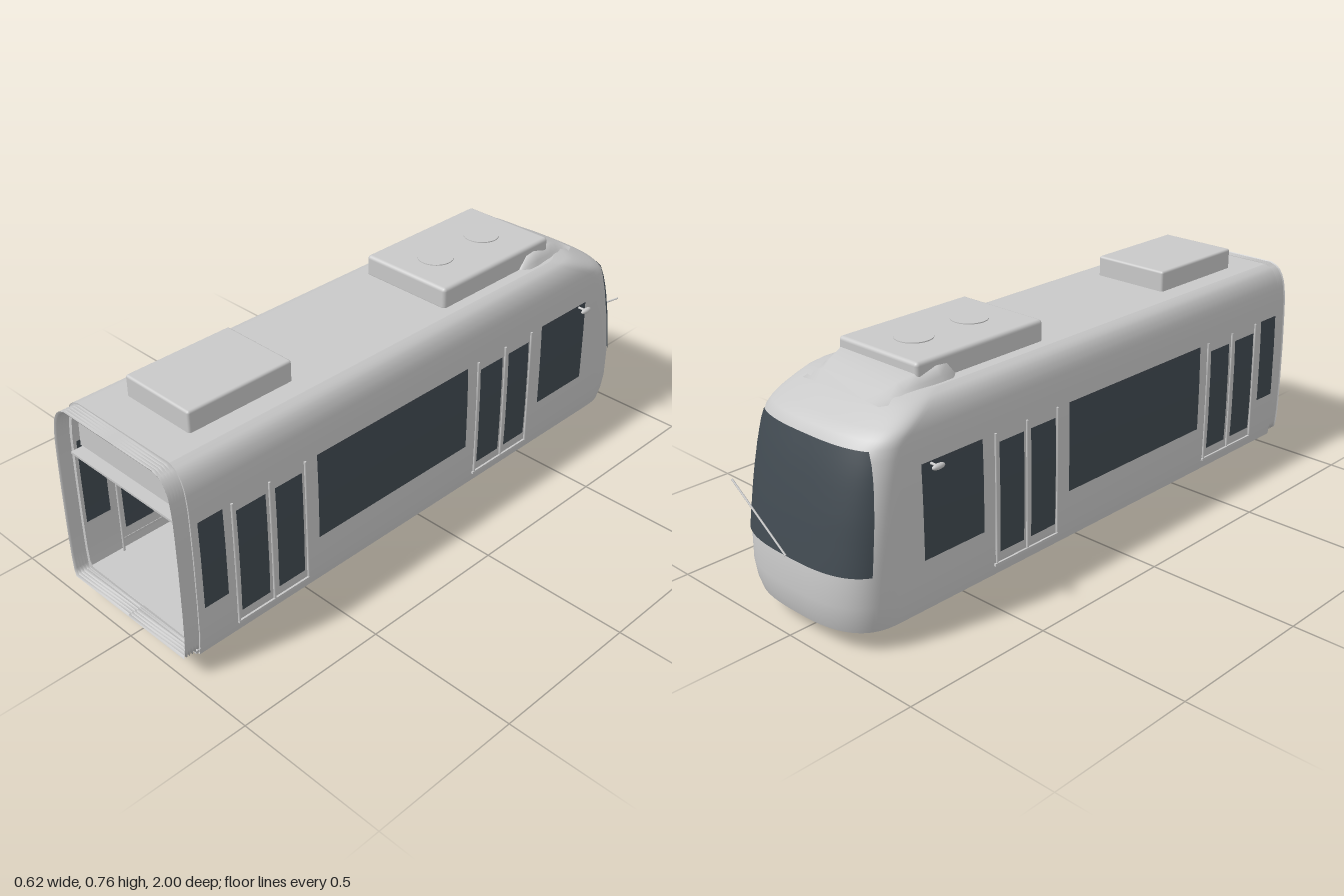
import * as THREE from 'three';
import { RoundedBoxGeometry } from 'three/addons/geometries/RoundedBoxGeometry.js';

// Height, half width, nose position
const PROFILE = [
  [0.065, 0.258, -0.975], [0.1, 0.264, -0.985], [0.15, 0.268, -0.99], [0.25, 0.27, -0.985],
  [0.4, 0.27, -0.955], [0.5, 0.268, -0.93], [0.56, 0.266, -0.911], [0.59, 0.263, -0.9],
  [0.61, 0.26, -0.88], [0.63, 0.256, -0.845], [0.65, 0.248, -0.805], [0.668, 0.237, -0.77],
  [0.68, 0.222, -0.74], [0.688, 0.2, -0.7],
];
const END_Z = 0.95, POWER = 2 / 2.8;

function profileAt(y) {
  let i = 0;
  while (i < PROFILE.length - 2 && y > PROFILE[i + 1][0]) i++;
  const a = PROFILE[i], b = PROFILE[i + 1];
  const t = THREE.MathUtils.clamp((y - a[0]) / (b[0] - a[0]), 0, 1);
  return { w: a[1] + (b[1] - a[1]) * t, nose: a[2] + (b[2] - a[2]) * t, len: 0.17 - 0.09 * Math.max(0, y - 0.1) };
}

// Point on the rounded nose; angle runs from -PI/2 (right side) to PI/2 (left side)
function nosePoint(y, angle, offset = 0) {
  const { w, nose, len } = profileAt(y);
  const s = Math.sin(angle), c = Math.max(0, Math.cos(angle));
  return [Math.sign(s) * Math.abs(s) ** POWER * (w + offset), y, nose + len - (len + offset) * c ** POWER];
}

// Surface from a rule of u and v
function grid(fn, nu, nv) {
  const pos = [], index = [];
  for (let j = 0; j <= nv; j++) for (let i = 0; i <= nu; i++) pos.push(...fn(i / nu, j / nv));
  for (let j = 0; j < nv; j++) for (let i = 0; i < nu; i++) {
    const a = j * (nu + 1) + i, b = a + nu + 1;
    index.push(a, b, a + 1, a + 1, b, b + 1);
  }
  const g = new THREE.BufferGeometry();
  g.setAttribute('position', new THREE.Float32BufferAttribute(pos, 3));
  g.setIndex(index);
  g.computeVertexNormals();
  return g;
}

export function createModel() {
  const model = new THREE.Group();
  const body = new THREE.MeshStandardMaterial({ name: 'light grey', color: 0xc8c8c8, side: THREE.DoubleSide });
  const glass = new THREE.MeshStandardMaterial({ name: 'dark glass', color: 0x414a51, side: THREE.DoubleSide });

  function add(name, geometry, material = body, x = 0, y = 0, z = 0) {
    const mesh = new THREE.Mesh(geometry, material);
    mesh.name = name;
    mesh.position.set(x, y, z);
    model.add(mesh);
    return mesh;
  }
  const box = (name, x0, x1, y0, y1, z0, z1, material) => add(name,
    new THREE.BoxGeometry(x1 - x0, y1 - y0, z1 - z0), material, (x0 + x1) / 2, (y0 + y1) / 2, (z0 + z1) / 2);
  function rod(name, from, to, r) {
    const a = new THREE.Vector3(...from), b = new THREE.Vector3(...to);
    const m = add(name, new THREE.CylinderGeometry(r, r, a.distanceTo(b), 10));
    m.position.copy(a).add(b).multiplyScalar(0.5);
    m.quaternion.setFromUnitVectors(new THREE.Vector3(0, 1, 0), b.sub(a).normalize());
  }
  function disc(name, x, y, z, r, width) {
    add(name, new THREE.CylinderGeometry(r, r, width, 28), body, x, y, z).rotation.z = Math.PI / 2;
  }

  // Body shell: level outlines stacked by height
  const NU = 48;
  const outline = (u, y) => {
    const i = Math.round(u * NU);
    if (i === 0 || i === NU) return [(i ? 1 : -1) * profileAt(y).w, y, END_Z];
    return nosePoint(y, ((i - 1) / (NU - 2) - 0.5) * Math.PI);
  };
  const rows = PROFILE.length - 1;
  add('bodyShell', grid((u, v) => outline(u, PROFILE[Math.round(v * rows)][0]), NU, rows));
  for (const [name, y] of [['underside', 0.065], ['roof', 0.688]]) {
    const dir = y > 0.5 ? 1 : -1;
    add(name, grid((u, v) => {
      const p = outline(u, y);
      return [p[0] * (dir > 0 ? 1 - v : v), y, p[2]];
    }, NU, 1));
  }

  // Windscreen wrapped round the nose
  add('windscreen', grid((u, v) => {
    const y = 0.245 + 0.343 * v, p = profileAt(y);
    const edge = -0.905 + 0.04 * v;
    const limit = Math.acos(((p.nose + p.len - edge) / p.len) ** (1 / POWER));
    return nosePoint(y, (u * 2 - 1) * limit, 0.004);
  }, 36, 10), glass);
  rod('wiper', [0, 0.25, -0.994], [0.22, 0.41, -0.997], 0.003);

  // Side panes, seen from outside and inside
  const panes = [
    [0.845, 0.93, 0.23, 0.52], [0.695, 0.8, 0.14, 0.49], [0.56, 0.66, 0.14, 0.49],
    [-0.14, 0.5, 0.23, 0.52], [-0.305, -0.2, 0.14, 0.49], [-0.435, -0.335, 0.14, 0.49], [-0.73, -0.5, 0.23, 0.52],
  ];
  for (const s of [-1, 1]) {
    for (const [z0, z1, y0, y1] of panes) for (const offset of [-0.003, 0.003]) {
      add('sideWindow', grid((u, v) => {
        const y = y0 + (y1 - y0) * v;
        return [s * (profileAt(y).w + offset), y, z0 + (z1 - z0) * u];
      }, 1, 8), glass);
    }
    // Door handrails, sills and frames
    for (const z of [0.812, 0.678, 0.545, -0.19, -0.32, -0.448])
      rod('doorEdge', [s * 0.27, 0.11, z], [s * 0.27, 0.52, z], 0.004);
    for (const z of [0.678, -0.32])
      box('doorSill', s * 0.267 - 0.004, s * 0.267 + 0.004, 0.098, 0.106, z - 0.135, z + 0.135);
    // Mirrors
    rod('mirrorArm', [s * 0.26, 0.513, -0.695], [s * 0.3, 0.513, -0.695], 0.004);
    add('mirror', new THREE.SphereGeometry(0.009, 16, 10), body, s * 0.3, 0.513, -0.695).scale.z = 2.6;
    add('noseLamp', new THREE.SphereGeometry(0.006, 10, 8), body, s * 0.15, 0.17, -0.967);
  }

  // Ribbed connecting bellows at the open end
  const half = PROFILE.map(([y, w]) => [w - 0.006, Math.max(0.075, y - 0.003)]);
  const ring = [[0, 0.075], ...half, [0, 0.685], ...half.map(([x, y]) => [-x, y]).reverse(), [0, 0.075]];
  add('bellows', grid((u, v) => {
    const [x, y] = ring[Math.round(u * (ring.length - 1))];
    const k = Math.round(v * 12) % 2 ? 0.975 : 1;
    return [x * k, 0.38 + (y - 0.38) * k, 0.94 + 0.06 * v];
  }, ring.length - 1, 12));
  add('endFrame', grid((u, v) => {
    const [x, y] = ring[Math.round(u * (ring.length - 1))];
    const k = 1.015 - 0.06 * v;
    return [x * k, 0.38 + (y - 0.38) * k, END_Z];
  }, ring.length - 1, 1));

  // Roof equipment
  add('frontRoofUnit', new RoundedBoxGeometry(0.27, 0.075, 0.37, 3, 0.008), body, 0, 0.7175, 0.645);
  add('rearRoofUnit', new RoundedBoxGeometry(0.33, 0.075, 0.5, 3, 0.012), body, 0, 0.7165, -0.39);
  for (const z of [-0.5, -0.28])
    add('roofFan', new THREE.CylinderGeometry(0.058, 0.058, 0.004, 32), body, 0, 0.755, z);

  // Fairing: half width at base, half width at top, height, z
  const fairing = [
    [0.185, 0.165, 0.69, -0.5], [0.2, 0.166, 0.726, -0.53], [0.2, 0.165, 0.73, -0.57], [0.197, 0.155, 0.722, -0.64],
    [0.19, 0.14, 0.708, -0.69], [0.18, 0.125, 0.69, -0.73], [0.16, 0.1, 0.67, -0.775],
  ];
  add('roofFairing', grid((u, v) => {
    const [base, top, h, z] = fairing[Math.round(v * 6)];
    const i = Math.round(u * 5);
    const x = [-base, -(base + top) / 2, -top, top, (base + top) / 2, base][i];
    const y = [0, 0.55, 1, 1, 0.55, 0][i];
    return [x, 0.668 + (h - 0.668) * y, z];
  }, 5, 6));

  // Interior shell
  box('floor', -0.255, 0.255, 0.07, 0.08, -0.62, 0.96);
  box('ceiling', -0.25, 0.25, 0.5, 0.507, -0.62, 0.96);
  const bulkhead = new THREE.Shape();
  bulkhead.moveTo(-0.26, 0.505).lineTo(0.26, 0.505).lineTo(0.255, 0.62).lineTo(0.235, 0.66)
    .lineTo(0.2, 0.68).lineTo(-0.2, 0.68).lineTo(-0.235, 0.66).lineTo(-0.255, 0.62);
  add('upperBulkhead', new THREE.ShapeGeometry(bulkhead), body, 0, 0, 0.92);
  box('cabWall', -0.26, 0.26, 0.08, 0.505, -0.62, -0.61);
  box('cabWallWindow', -0.165, -0.062, 0.325, 0.415, -0.609, -0.605, glass);
  box('displayFrame', -0.064, 0.064, 0.448, 0.492, -0.61, -0.59);
  box('displayScreen', -0.058, 0.058, 0.453, 0.488, -0.589, -0.585, glass);

  // Seats and poles
  for (const s of [-1, 1]) {
    for (const z of [-0.48, 0.0, 0.36]) {
      box('seatBase', s * 0.157 - 0.09, s * 0.157 + 0.09, 0.08, 0.12, z - 0.06, z + 0.06);
      add('seatPost', new THREE.CylinderGeometry(0.022, 0.022, 0.08, 16), body, s * 0.172, 0.16, z);
      box('seatCushion', s * 0.157 - 0.085, s * 0.157 + 0.085, 0.195, 0.215, z - 0.06, z + 0.06);
      box('seatBack', s * 0.157 - 0.085, s * 0.157 + 0.085, 0.2, 0.342, z - 0.06, z - 0.045);
    }
    rod('wallPole', [s * 0.243, 0.08, 0.83], [s * 0.243, 0.5, 0.83], 0.004);
    for (const z of [0.5, -0.17]) rod('doorPole', [s * 0.2, 0.08, z], [s * 0.2, 0.5, z], 0.004);
  }
  rod('centrePole', [0, 0.08, 0.68], [0, 0.5, 0.68], 0.004);
  rod('centrePole', [0, 0.08, -0.32], [0, 0.5, -0.32], 0.004);

  // Running gear
  for (const z of [0.37, 0]) {
    rod('axle', [-0.15, 0.055, z], [0.15, 0.055, z], 0.008);
    for (const s of [-1, 1]) {
      disc('wheel', s * 0.157, 0.065, z, 0.065, 0.02);
      disc('wheelFlange', s * 0.145, 0.064, z, 0.058, 0.012);
      disc('brakeDisc', s * 0.098, 0.055, z ? 0.275 : 0.09, 0.03, 0.01);
    }
    disc('motor', 0, 0.058, z ? 0.255 : 0.115, 0.02, 0.15);
  }
  return model;
}
